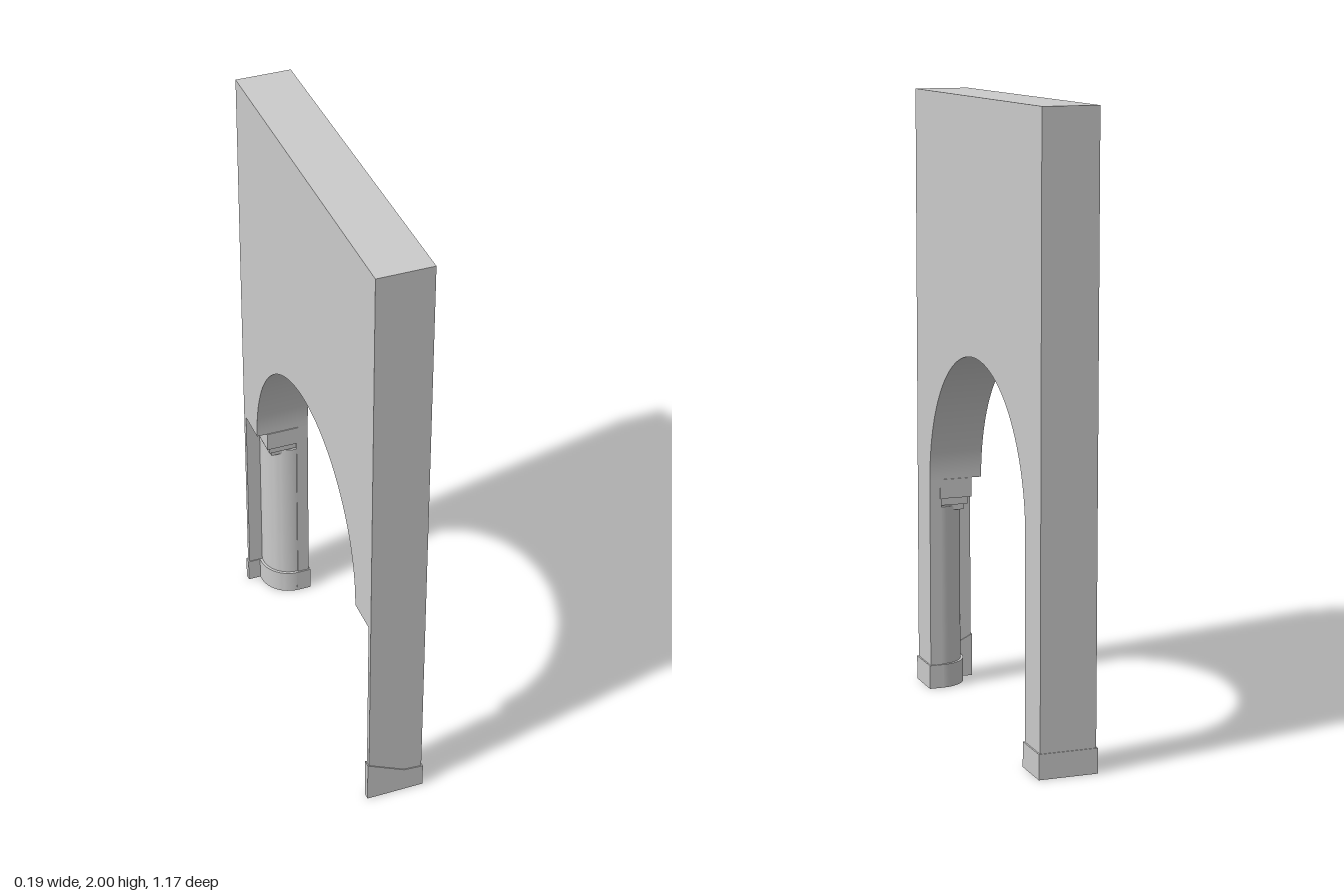
import * as THREE from 'three';
import { toCreasedNormals } from 'three/addons/utils/BufferGeometryUtils.js';

const material = new THREE.MeshStandardMaterial({ color: 0xcccccc });
const HALF_X = 0.09, HALF_Z = 0.583; // wall half thickness and half length
const INNER = 0.453, SPRING = 0.715; // half opening and springing height

function addMesh(parent, name, geometry) {
  const mesh = new THREE.Mesh(toCreasedNormals(geometry, 0.5), material);
  mesh.name = name;
  parent.add(mesh);
}

// Upright prism from plan points [x, distance from centre]; side is +1 or -1 along z.
function prism(points, y0, y1, side) {
  const shape = new THREE.Shape(points.map(([x, d]) => new THREE.Vector2(x, -side * d)));
  const geo = new THREE.ExtrudeGeometry(shape, { depth: y1 - y0, bevelEnabled: false });
  return geo.rotateX(-Math.PI / 2).translate(0, y0, 0);
}

// L-shaped pier plan: a strip along the +x face and a thin end sheet, grown by e.
const pierPlan = (e) => [
  [HALF_X + e, INNER - e], [HALF_X + e, HALF_Z + e / 2], [-HALF_X - e, HALF_Z + e / 2],
  [-HALF_X - e, 0.565 - e / 2], [0.05 - e, 0.565 - e / 2], [0.05 - e, INNER - e],
];

// Quarter-round column plan set into the corner of the pier.
function columnPlan(r) {
  const points = [[0.055, 0.57], [0.055, 0.55 - r]];
  for (let i = 0; i <= 16; i++) {
    const a = (i / 16) * Math.PI / 2;
    points.push([0.05 - r * Math.sin(a), 0.55 - r * Math.cos(a)]);
  }
  points.push([0.05 - r, 0.57]);
  return points;
}

const blockPlan = (x, d) => [[0.055, 0.57], [0.055, d], [x, d], [x, 0.57]];

export function createModel() {
  const model = new THREE.Group();
  model.name = 'archway';

  // Upper wall with the elliptical arch cut into its underside
  const wall = new THREE.Shape();
  wall.moveTo(INNER, SPRING);
  wall.lineTo(HALF_Z, SPRING);
  wall.lineTo(HALF_Z, 2);
  wall.lineTo(-HALF_Z, 2);
  wall.lineTo(-HALF_Z, SPRING);
  wall.lineTo(-INNER, SPRING);
  wall.absellipse(0, SPRING, INNER, 1.19 - SPRING, Math.PI, 0, true);
  const wallGeo = new THREE.ExtrudeGeometry(wall, {
    depth: 2 * HALF_X, bevelEnabled: false, curveSegments: 40,
  });
  wallGeo.rotateY(-Math.PI / 2).translate(HALF_X, 0, 0);
  addMesh(model, 'archWall', wallGeo);

  // Two mirrored piers
  for (const side of [1, -1]) {
    const pier = new THREE.Group();
    pier.name = side > 0 ? 'frontPier' : 'backPier';
    addMesh(pier, 'pierWall', prism(pierPlan(0), 0, SPRING, side));
    addMesh(pier, 'pierPlinth', prism(pierPlan(0.005), 0, 0.08, side));
    addMesh(pier, 'column', prism(columnPlan(0.093), 0, 0.62, side));
    addMesh(pier, 'columnBase', prism(columnPlan(0.102), 0, 0.08, side));
    // Stepped capital
    addMesh(pier, 'capitalBlock', prism(blockPlan(-0.055, 0.45), 0.65, SPRING, side));
    addMesh(pier, 'capitalStep', prism(blockPlan(-0.045, 0.46), 0.625, 0.65, side));
    addMesh(pier, 'capitalNeck', prism(blockPlan(-0.034, 0.47), 0.605, 0.625, side));
    model.add(pier);
  }

  // Sloping plinth panel on the front end
  const panel = new THREE.Shape([
    [-0.095, 0], [0.095, 0], [0.095, 0.08], [0.03, 0.085], [-0.095, 0.146],
  ].map(([x, y]) => new THREE.Vector2(x, y)));
  const panelGeo = new THREE.ExtrudeGeometry(panel, { depth: 0.024, bevelEnabled: false });
  addMesh(model, 'slopingPlinth', panelGeo.translate(0, 0, 0.562));
  return model;
}
